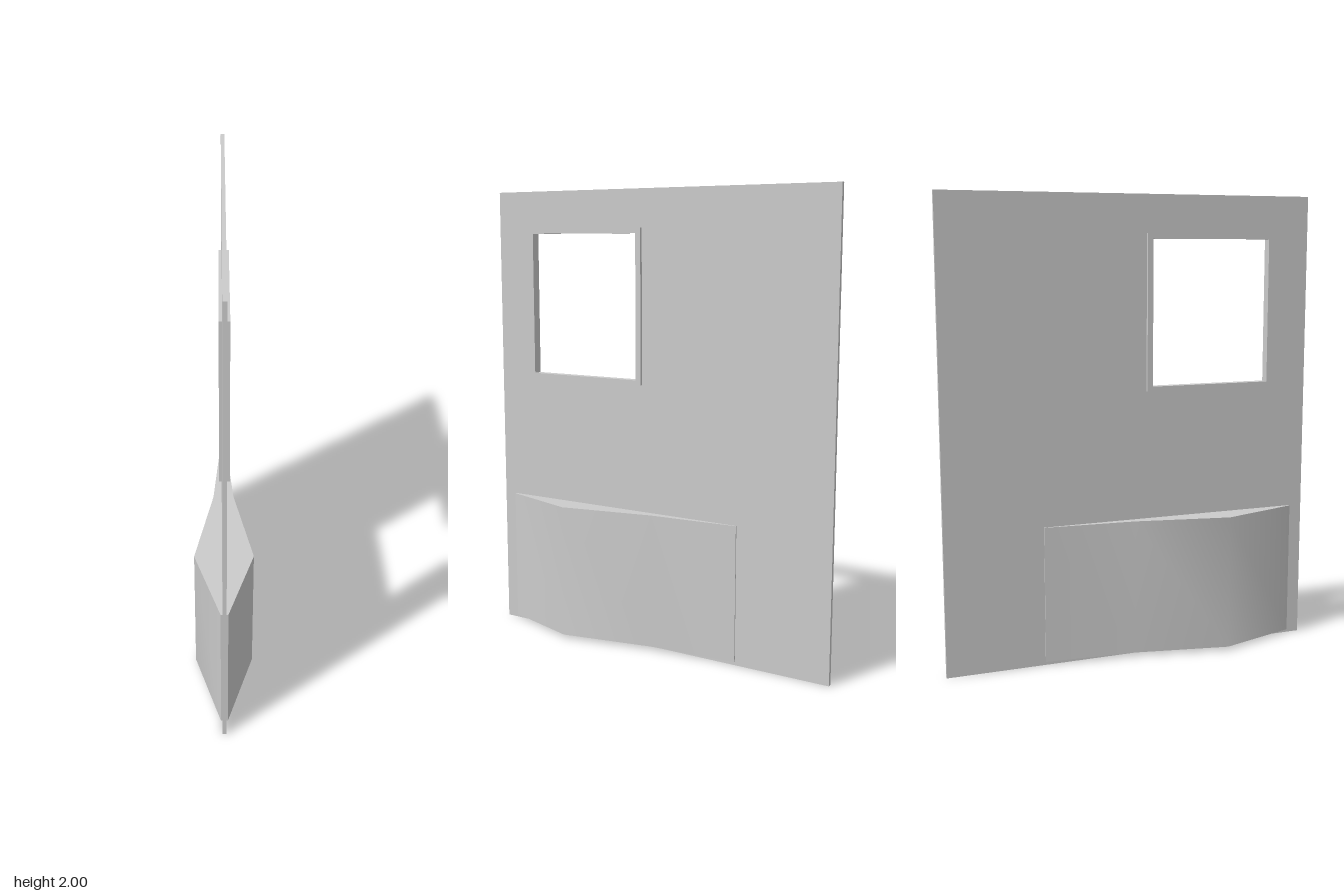
import * as THREE from 'three';
import { toCreasedNormals } from 'three/addons/utils/BufferGeometryUtils.js';

const material = new THREE.MeshStandardMaterial({ color: 0xcccccc });

// Rectangle in the (z, y) plane, as a Shape or a hole Path
function rect(Type, z0, z1, y0, y1) {
  return new Type([[z0, y0], [z1, y0], [z1, y1], [z0, y1]].map(([z, y]) => new THREE.Vector2(z, y)));
}

// Upright slab centred on x = 0 with one rectangular opening
function slab(name, outer, opening, thickness) {
  const shape = rect(THREE.Shape, ...outer);
  shape.holes.push(rect(THREE.Path, ...opening));
  const geo = new THREE.ExtrudeGeometry(shape, { depth: thickness, bevelEnabled: false });
  geo.translate(0, 0, -thickness / 2).rotateY(-Math.PI / 2);
  const mesh = new THREE.Mesh(geo, material);
  mesh.name = name;
  return mesh;
}

export function createModel() {
  const group = new THREE.Group();
  group.name = 'doorPanel';

  const opening = [0.09, 0.635, 1.19, 1.815];

  // Door leaf and the raised frame around its window
  group.add(slab('doorLeaf', [-0.83, 0.83, 0, 2], opening, 0.016));
  group.add(slab('windowFrame', [0.065, 0.656, 1.17, 1.838], opening, 0.04));

  // Bulging lower pocket: mirrored (x, z) outline extruded upwards
  const side = [[0.013, -0.4], [0.045, 0], [0.125, 0.415], [0.015, 0.77]];
  const outline = [...side, ...side.map(([x, z]) => [-x, z]).reverse()];
  const bottom = 0.015, top = 0.61;
  let geo = new THREE.ExtrudeGeometry(
    new THREE.Shape(outline.map(([x, z]) => new THREE.Vector2(x, z))),
    { depth: top - bottom, bevelEnabled: false });
  geo.rotateX(Math.PI / 2).translate(0, top, 0);
  geo = toCreasedNormals(geo, 0.6);
  const pocket = new THREE.Mesh(geo, material);
  pocket.name = 'lowerPocket';
  group.add(pocket);

  return group;
}
